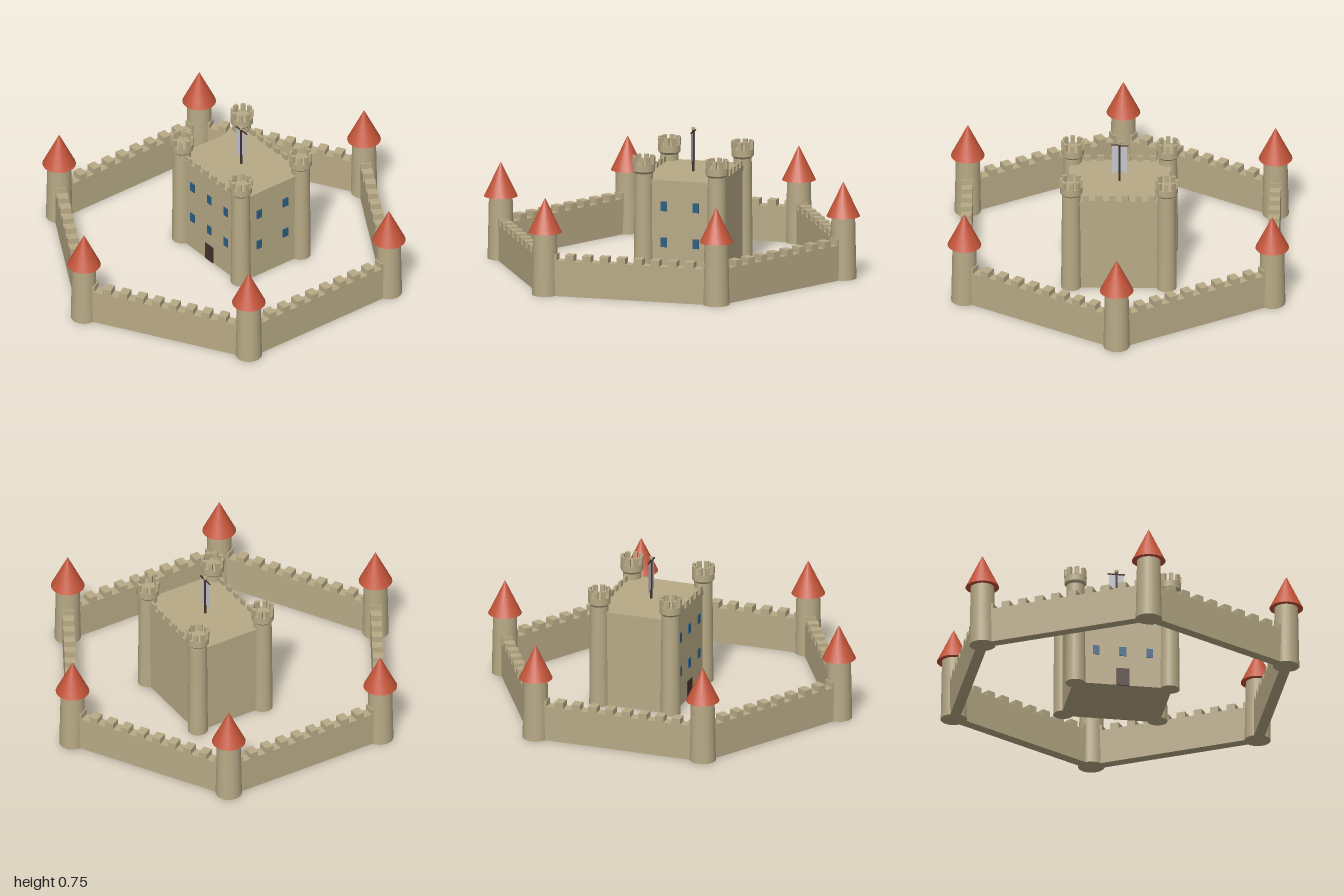
import * as THREE from 'three';

const mat = (name, color, side = THREE.FrontSide) => {
  const m = new THREE.MeshStandardMaterial({ color, side });
  m.name = name;
  return m;
};

export function createModel() {
  const stone = mat('stone', 0xb8aa86);
  const roofRed = mat('roof red', 0xc4553a);
  const glass = mat('window blue', 0x2c5f82);
  const darkWood = mat('dark wood', 0x46302a);
  const cloth = mat('banner grey', 0xc6c7ce, THREE.DoubleSide);

  const castle = new THREE.Group();
  castle.name = 'castle';

  const add = (parent, name, geo, material, x = 0, y = 0, z = 0) => {
    const mesh = new THREE.Mesh(geo, material);
    mesh.name = name;
    mesh.position.set(x, y, z);
    parent.add(mesh);
    return mesh;
  };
  const group = (parent, name, x = 0, y = 0, z = 0) => {
    const g = new THREE.Group();
    g.name = name;
    g.position.set(x, y, z);
    parent.add(g);
    return g;
  };
  const box = (w, h, d) => new THREE.BoxGeometry(w, h, d);
  const cyl = (top, bottom, h, n = 20) => new THREE.CylinderGeometry(top, bottom, h, n);

  // Hexagonal outer wall: a roofed tower at each corner, a crenellated wall on each side
  const R = 0.913;
  const apothem = R * Math.cos(Math.PI / 6);
  const step = R / 10;
  for (let i = 0; i < 6; i++) {
    const a = (i * Math.PI) / 3;
    const tower = group(castle, 'outerTower', R * Math.sin(a), 0, R * Math.cos(a));
    add(tower, 'outerTowerShaft', cyl(0.061, 0.068, 0.33), stone, 0, 0.165, 0);
    add(tower, 'outerTowerRoof', new THREE.ConeGeometry(0.087, 0.18, 20), roofRed, 0, 0.417, 0);

    const b = a + Math.PI / 6;
    const wall = group(castle, 'outerWall', apothem * Math.sin(b), 0, apothem * Math.cos(b));
    wall.rotation.y = b;
    add(wall, 'wallBody', box(R, 0.186, 0.056), stone, 0, 0.093, 0);
    for (let k = 0; k < 10; k++) {
      add(wall, 'wallMerlon', box(step / 2, 0.031, 0.056), stone, (k - 4.5) * step, 0.2015, 0);
    }
  }

  // Keep body with a flat cap and merlons along front and back
  const keep = group(castle, 'keep', 0, 0, -0.113);
  const halfW = 0.257, halfD = 0.208;
  add(keep, 'keepBody', box(halfW * 2, 0.49, halfD * 2), stone, 0, 0.245, 0);
  add(keep, 'keepCap', box(halfW * 2 + 0.008, 0.026, halfD * 2 + 0.008), stone, 0, 0.503, 0);
  for (const s of [-1, 1]) {
    for (let k = 0; k < 6; k++) {
      add(keep, 'keepMerlon', box(0.034, 0.03, 0.014), stone, (k - 2.5) * 0.068, 0.531, s * (halfD - 0.003));
    }
  }

  // Corner turrets with flared heads and a ring of merlons
  for (const sx of [-1, 1]) {
    for (const sz of [-1, 1]) {
      const turret = group(keep, 'turret', sx * 0.245, 0, sz * 0.195);
      add(turret, 'turretShaft', cyl(0.047, 0.052, 0.55), stone, 0, 0.275, 0);
      add(turret, 'turretFlare', cyl(0.058, 0.047, 0.012), stone, 0, 0.554, 0);
      add(turret, 'turretHead', cyl(0.058, 0.058, 0.036), stone, 0, 0.578, 0);
      for (let k = 0; k < 8; k++) {
        const a = (k * Math.PI) / 4;
        const m = add(turret, 'turretMerlon', box(0.023, 0.041, 0.015), stone,
          0.051 * Math.sin(a), 0.6155, 0.051 * Math.cos(a));
        m.rotation.y = a;
      }
    }
  }

  // Windows on the front and the left side, door in the front
  for (const y of [0.19, 0.379]) {
    for (const x of [-0.139, 0, 0.139]) {
      add(keep, 'frontWindow', box(0.034, 0.05, 0.006), glass, x, y, halfD + 0.001);
    }
    for (const z of [-0.085, 0.085]) {
      add(keep, 'sideWindow', box(0.006, 0.05, 0.034), glass, halfW + 0.001, y, z);
    }
  }
  add(keep, 'door', box(0.066, 0.095, 0.006), darkWood, 0, 0.0475, halfD + 0.001);

  // Banner hanging from a crossbar on the roof pole
  const banner = group(keep, 'banner');
  add(banner, 'bannerPole', cyl(0.006, 0.006, 0.22, 10), darkWood, 0, 0.625, 0);
  add(banner, 'poleKnob', cyl(0.01, 0.01, 0.013, 10), stone, 0, 0.7395, 0);
  const bar = add(banner, 'bannerCrossbar', cyl(0.004, 0.004, 0.09, 8), darkWood, 0, 0.724, 0);
  bar.rotation.z = Math.PI / 2;
  const shape = new THREE.Shape([
    [-0.039, 0.722], [-0.039, 0.555], [0, 0.577], [0.039, 0.555], [0.039, 0.722],
  ].map(([x, y]) => new THREE.Vector2(x, y)));
  add(banner, 'bannerCloth', new THREE.ShapeGeometry(shape), cloth);

  return castle;
}
